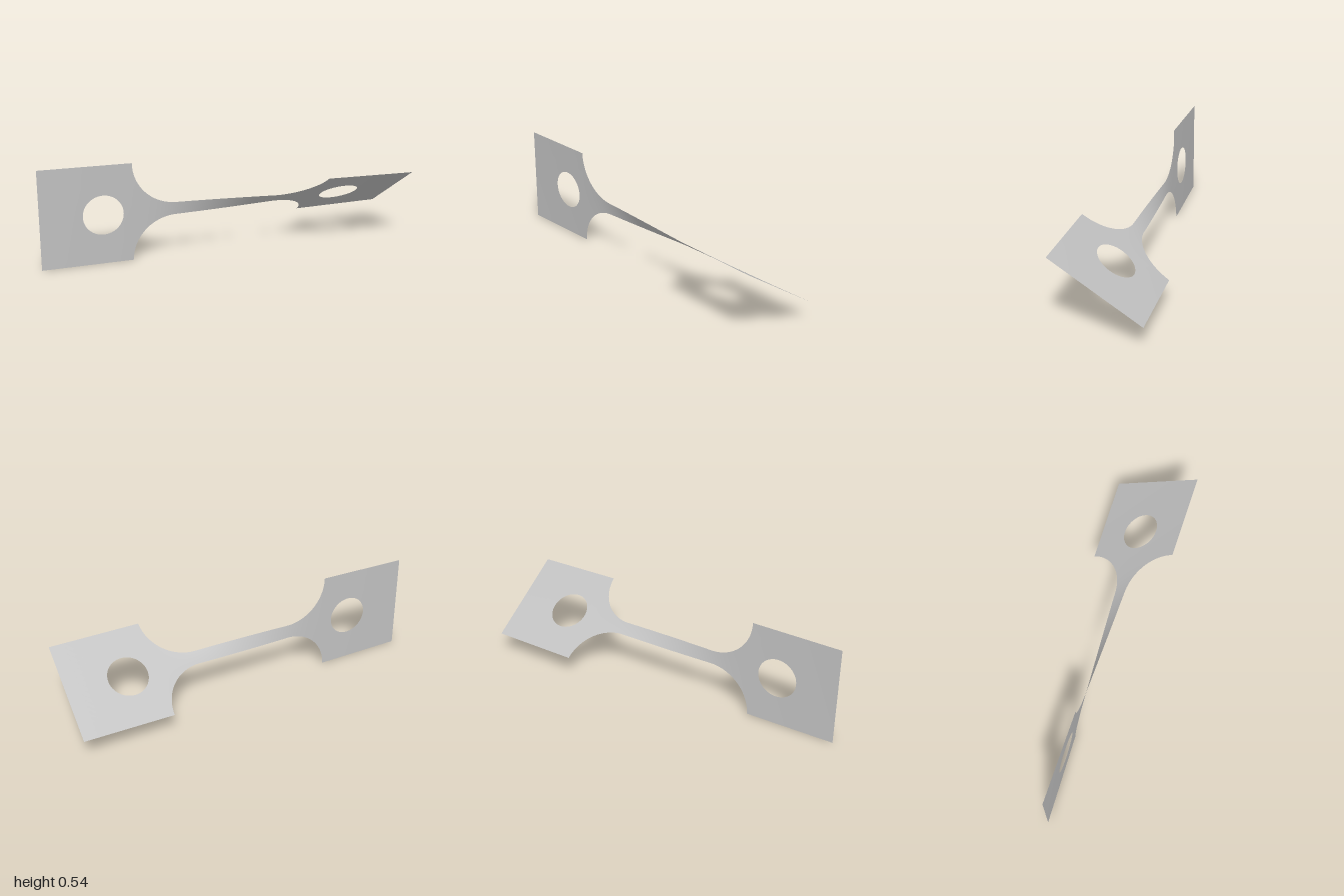
import * as THREE from 'three';
import { mergeGeometries, mergeVertices } from 'three/addons/utils/BufferGeometryUtils.js';

const HALF = 0.271, NECK = 0.036, FILLET = 0.235, GRIP = 0.51;
const HOLE_X = 0.667, HOLE_R = 0.108;

// Half width of the strip at x: narrow neck, round fillets, square grips
function halfWidth(x) {
  const a = Math.abs(x);
  if (a >= GRIP) return HALF;
  const u = Math.max(0, (a - GRIP + FILLET) / FILLET);
  return NECK + (HALF - NECK) * (1 - Math.sqrt(Math.max(0, 1 - u * u)));
}

// Half height of the round hole at x
function holeHalf(x) {
  const d = Math.abs(x) - HOLE_X;
  return Math.sqrt(Math.max(0, HOLE_R * HOLE_R - d * d));
}

// Twist gathers where the strip is narrow
const STEPS = 400, sums = [0];
for (let i = 0; i < STEPS; i++) sums.push(sums[i] + halfWidth((i + 0.5) / STEPS) ** -1.5);
function twist(x) {
  const f = Math.min(STEPS, Math.abs(x) * STEPS), i = Math.min(STEPS - 1, Math.floor(f));
  const s = (sums[i] + (sums[i + 1] - sums[i]) * (f - i)) / sums[STEPS];
  return THREE.MathUtils.degToRad(28.7 + Math.sign(x) * s * 28.4);
}

// Stations along the length, denser at the ends of the fillets and holes
function stations() {
  const half = [];
  for (let i = 0; i <= 14; i++) half.push((GRIP - FILLET) * i / 14);
  for (let i = 1; i <= 24; i++) half.push(GRIP - FILLET + FILLET * Math.sin(i / 24 * Math.PI / 2));
  for (let i = 0; i <= 32; i++) half.push(HOLE_X - HOLE_R * Math.cos(i / 32 * Math.PI));
  for (let i = 1; i <= 6; i++) half.push(HOLE_X + HOLE_R + (1 - HOLE_X - HOLE_R) * i / 6);
  return [...half.slice(1).reverse().map(x => -x), ...half];
}

// One half of the strip, from the centre line or hole rim to the outer edge
function stripHalf(side, xs) {
  const n = xs.length - 1, rows = 8;
  const geo = new THREE.PlaneGeometry(n, 1, n, rows);
  const p = geo.attributes.position;
  for (let i = 0; i < p.count; i++) {
    const x = xs[i % (n + 1)];
    const t = p.getY(i) + 0.5;
    const k = side > 0 ? t : 1 - t;
    const inner = holeHalf(x);
    const v = side * (inner + (halfWidth(x) - inner) * k);
    const a = twist(x);
    p.setXYZ(i, x, HALF + v * Math.cos(a), v * Math.sin(a));
  }
  geo.deleteAttribute('uv');
  geo.deleteAttribute('normal');
  return geo;
}

export function createModel() {
  const group = new THREE.Group();
  group.name = 'twistedTestStrip';
  const metal = new THREE.MeshStandardMaterial({ color: 0xc0c0c0, side: THREE.DoubleSide });
  metal.name = 'light grey metal';

  const xs = stations();
  const geo = mergeVertices(mergeGeometries([stripHalf(1, xs), stripHalf(-1, xs)]), 1e-5);
  geo.computeVertexNormals();
  const strip = new THREE.Mesh(geo, metal);
  strip.name = 'twistedStrip';
  group.add(strip);
  return group;
}
